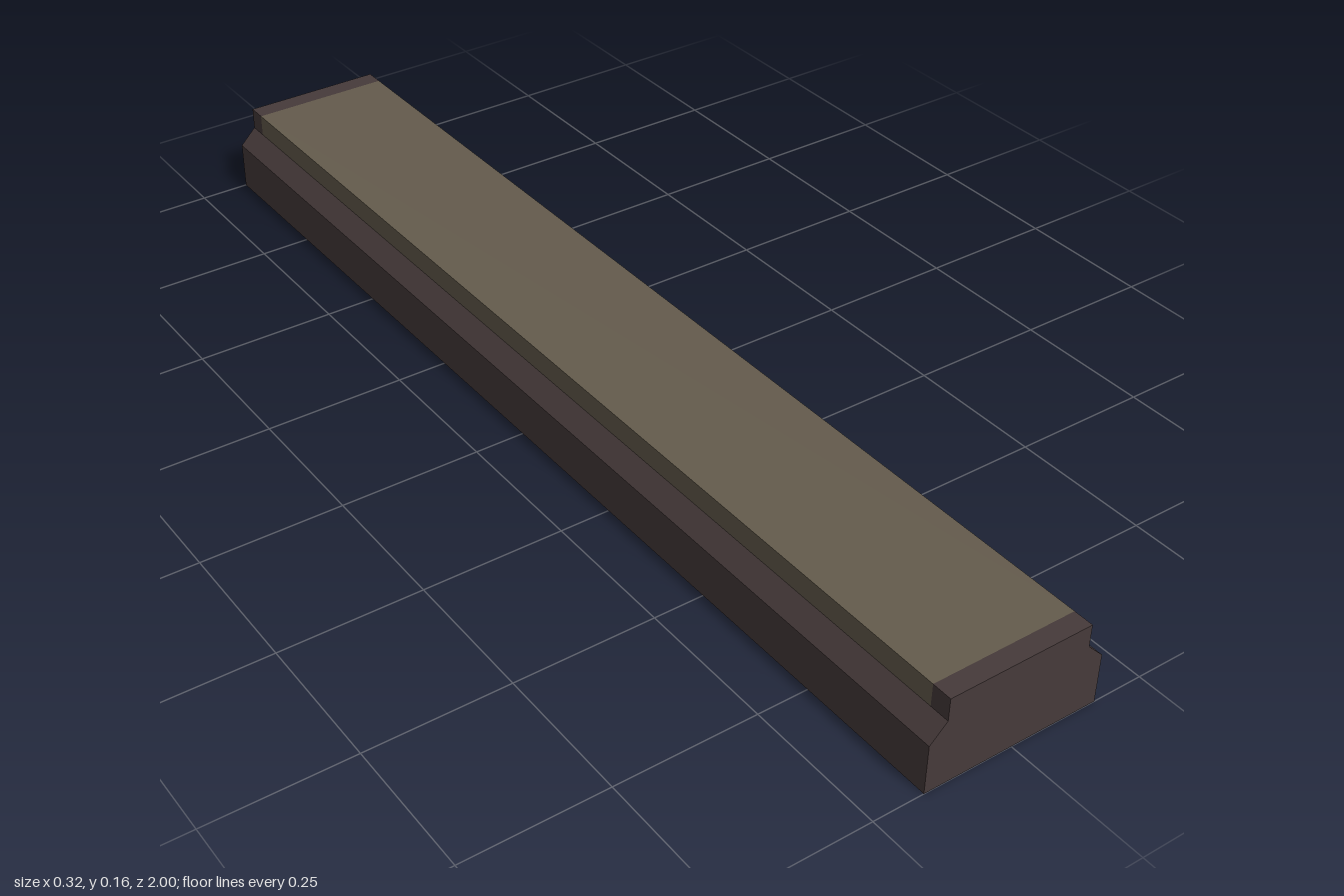
import * as THREE from 'three';

const LENGTH = 2;
const CAP = 0.035; // thickness of each end cap
const HALF_W = 0.16, HALF_TOP = 0.13;
const SHOULDER = 0.088, LEDGE = 0.118, TOP = 0.158;

// Extrude a mirrored outline (given as its right half, bottom to top) along z
function extrudeProfile(name, half, z0, z1, material) {
  const left = half.map(([x, y]) => [-x, y]).reverse();
  const shape = new THREE.Shape([...half, ...left].map(([x, y]) => new THREE.Vector2(x, y)));
  const geometry = new THREE.ExtrudeGeometry(shape, { depth: z1 - z0, bevelEnabled: false });
  geometry.translate(0, 0, z0);
  const mesh = new THREE.Mesh(geometry, material);
  mesh.name = name;
  return mesh;
}

export function createModel() {
  const darkFrame = new THREE.MeshStandardMaterial({ color: 0x463a3a });
  darkFrame.name = 'darkFrame';
  const tanPanel = new THREE.MeshStandardMaterial({ color: 0x645b4c });
  tanPanel.name = 'tanPanel';

  const model = new THREE.Group();
  model.name = 'panelledBeam';
  const end = LENGTH / 2;

  // Long base with chamfered shoulders
  const base = [[HALF_W, 0], [HALF_W, SHOULDER], [HALF_TOP, LEDGE]];
  model.add(extrudeProfile('base', base, -end, end, darkFrame));

  // Raised panel running between the caps
  const panel = [[HALF_TOP, LEDGE], [HALF_TOP, TOP]];
  model.add(extrudeProfile('topPanel', panel, -end + CAP, end - CAP, tanPanel));

  // End caps closing off the panel
  model.add(extrudeProfile('frontCap', panel, end - CAP, end, darkFrame));
  model.add(extrudeProfile('backCap', panel, -end, -end + CAP, darkFrame));

  return model;
}
